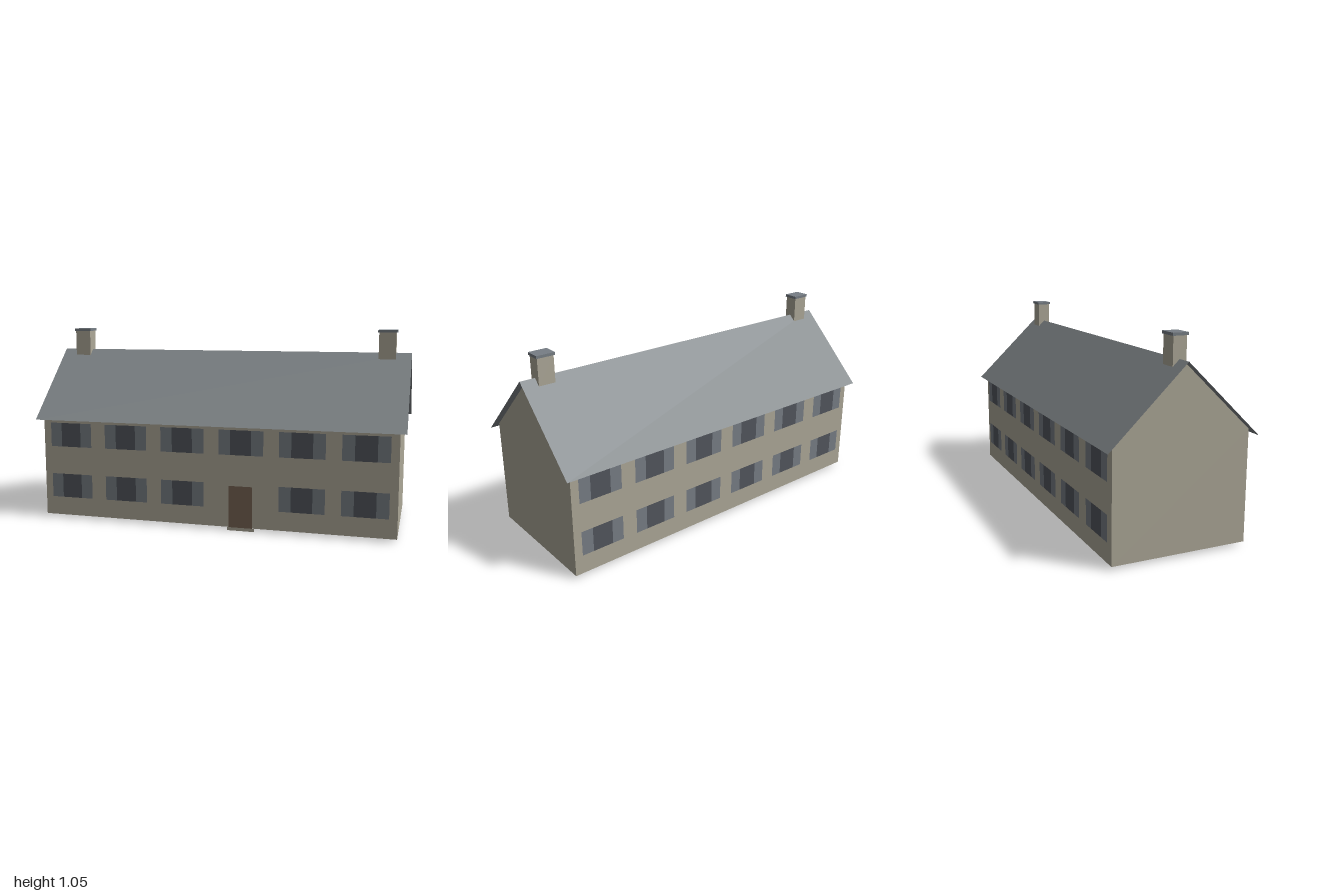
import * as THREE from 'three';

const mat = (name, color, side = THREE.FrontSide) => {
  const m = new THREE.MeshStandardMaterial({ color, side });
  m.name = name;
  return m;
};

export function createModel() {
  const house = new THREE.Group();
  house.name = 'house';
  const stone = mat('stone', 0xada898, THREE.DoubleSide);
  const slate = mat('slate', 0x808689, THREE.DoubleSide);
  const shutterGrey = mat('shutter grey', 0x777e85);
  const glass = mat('window glass', 0x52565d);
  const wood = mat('door wood', 0x786453);

  const add = (parent, name, geometry, material, x = 0, y = 0, z = 0) => {
    const mesh = new THREE.Mesh(geometry, material);
    mesh.name = name;
    mesh.position.set(x, y, z);
    parent.add(mesh);
    return mesh;
  };

  const W = 0.967, D = 0.355, base = 0.017, eave = 0.583, peak = 0.922;

  // Gable end walls
  const outline = new THREE.Shape([[-D, base], [D, base], [D, eave], [0, peak], [-D, eave]]
    .map(([x, y]) => new THREE.Vector2(x, y)));
  for (const s of [-1, 1]) {
    add(house, s > 0 ? 'leftGable' : 'rightGable', new THREE.ShapeGeometry(outline), stone, s * W)
      .rotation.y = s * Math.PI / 2;
  }

  // Long walls with two rows of shuttered windows
  const columns = [-0.805, -0.483, -0.161, 0.161, 0.483, 0.805];
  const rows = [0.185, 0.471];
  const doorX = 0.16, winH = 0.132, winW = 0.112, shutW = 0.064;
  for (const front of [true, false]) {
    const side = new THREE.Group();
    side.name = front ? 'frontSide' : 'backSide';
    side.rotation.y = front ? 0 : Math.PI;
    house.add(side);
    add(side, 'longWall', new THREE.PlaneGeometry(2 * W, eave - base), stone, 0, (eave + base) / 2, D);
    for (const y of rows) {
      for (const x of columns) {
        if (front && y === rows[0] && x === 0.161) continue; // the door goes here
        add(side, 'windowPane', new THREE.PlaneGeometry(winW, winH), glass, x, y, D + 0.003);
        for (const s of [-1, 1]) {
          add(side, 'shutter', new THREE.PlaneGeometry(shutW, winH), shutterGrey,
            x + s * (winW + shutW) / 2, y, D + 0.003);
        }
      }
    }
  }

  // Door and its step
  add(house, 'door', new THREE.PlaneGeometry(0.128, 0.223), wood, doorX, 0.1285, D + 0.004);
  add(house, 'doorStep', new THREE.PlaneGeometry(0.147, 0.017), stone, doorX, 0.0085, D + 0.004);

  // Thin roof slopes, overhanging the walls
  const ridge = 0.93, drop = 0.375, run = 0.39;
  for (const s of [-1, 1]) {
    const slope = add(house, s > 0 ? 'frontRoofSlope' : 'backRoofSlope',
      new THREE.PlaneGeometry(2, Math.hypot(drop, run)), slate, 0, ridge - drop / 2, s * run / 2);
    slope.rotation.order = 'YXZ';
    slope.rotation.y = s > 0 ? 0 : Math.PI;
    slope.rotation.x = -Math.atan2(run, drop);
  }

  // Chimneys on the ridge
  for (const s of [-1, 1]) {
    const chimney = new THREE.Group();
    chimney.name = s > 0 ? 'leftChimney' : 'rightChimney';
    chimney.position.x = s * 0.874;
    house.add(chimney);
    add(chimney, 'chimneyStack', new THREE.BoxGeometry(0.089, 0.145, 0.07), stone, 0, 0.9645, 0);
    add(chimney, 'chimneyCap', new THREE.BoxGeometry(0.1, 0.014, 0.08), shutterGrey, 0, 1.043, 0);
  }

  return house;
}
